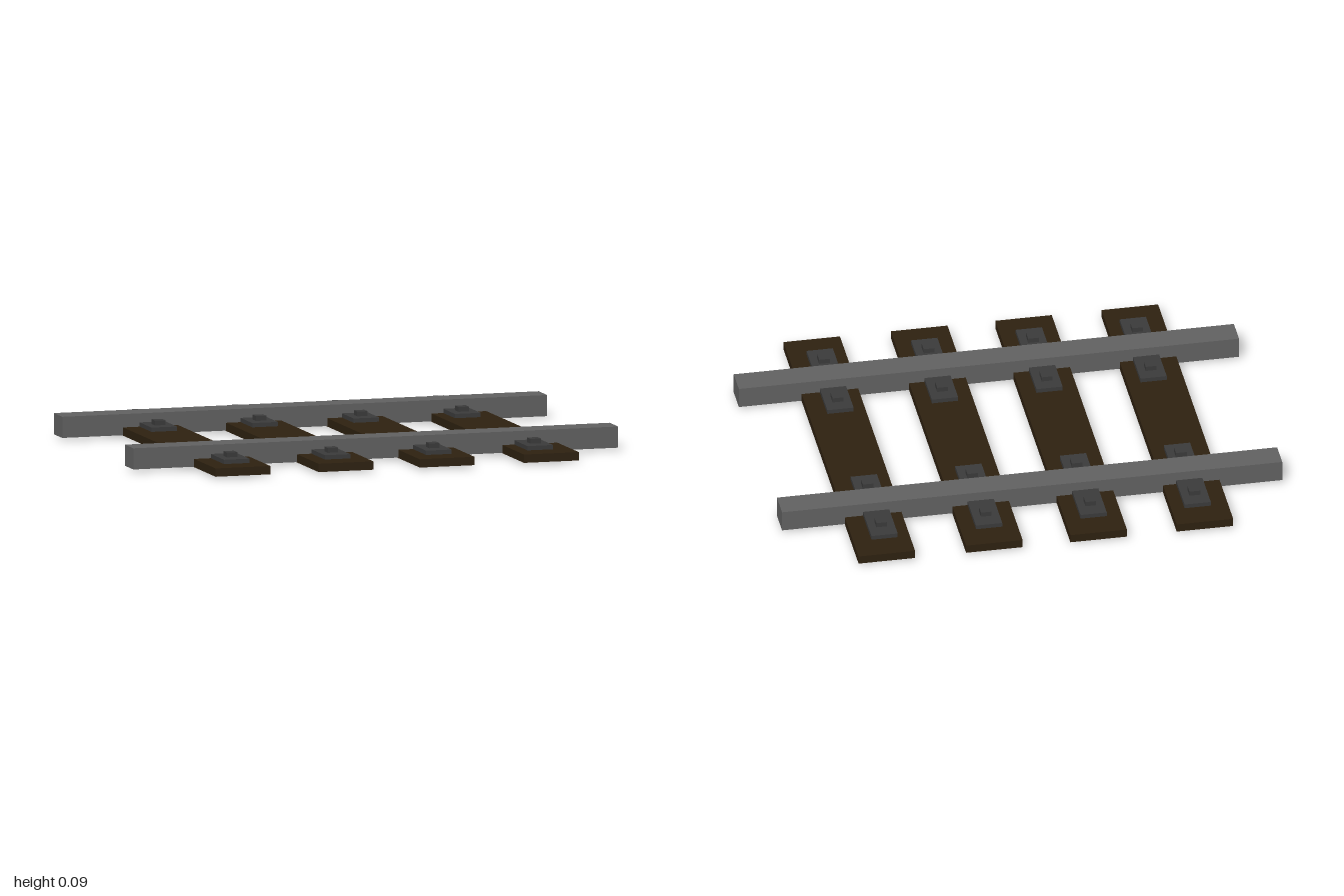
import * as THREE from 'three';

export function createModel() {
  const track = new THREE.Group();
  track.name = 'railTrack';

  const material = (name, color) => {
    const m = new THREE.MeshStandardMaterial({ color });
    m.name = name;
    return m;
  };
  const railSteel = material('railSteel', 0x626262);
  const darkIron = material('darkIron', 0x3b3b3b);
  const darkWood = material('darkWood', 0x2e2110);

  // Box from its centre in plan, its bottom and its top
  function addBox(name, mat, x, z, width, depth, bottom, top) {
    const mesh = new THREE.Mesh(new THREE.BoxGeometry(width, top - bottom, depth), mat);
    mesh.name = name;
    mesh.position.set(x, (bottom + top) / 2, z);
    track.add(mesh);
  }

  const tieX = [-0.636, -0.211, 0.206, 0.636];
  const fixingX = [-0.628, -0.212, 0.206, 0.624];
  const railZ = [0.467, -0.453];

  // Wooden ties
  tieX.forEach((x, i) => addBox(`tie${i + 1}`, darkWood, x, 0, 0.226, 1.6, 0.008, 0.041));

  railZ.forEach((z, i) => {
    const side = i === 0 ? 'front' : 'back';
    addBox(`${side}Rail`, railSteel, 0, z, 2, 0.11, 0.01, 0.094);

    // Plates running under the rail, each held by a bolt on either side
    const plateZ = i === 0 ? 0.472 : -0.467;
    fixingX.forEach((x, j) => {
      addBox(`${side}Plate${j + 1}`, darkIron, x, plateZ, 0.105, 0.443, 0.007, 0.058);
      for (const s of [-1, 1]) {
        addBox(`${side}Bolt${j + 1}${s < 0 ? 'A' : 'B'}`, darkIron,
          x, plateZ + s * 0.144 - (i === 0 ? 0.004 : -0.004), 0.043, 0.043, 0, 0.077);
      }
    });
  });

  return track;
}
